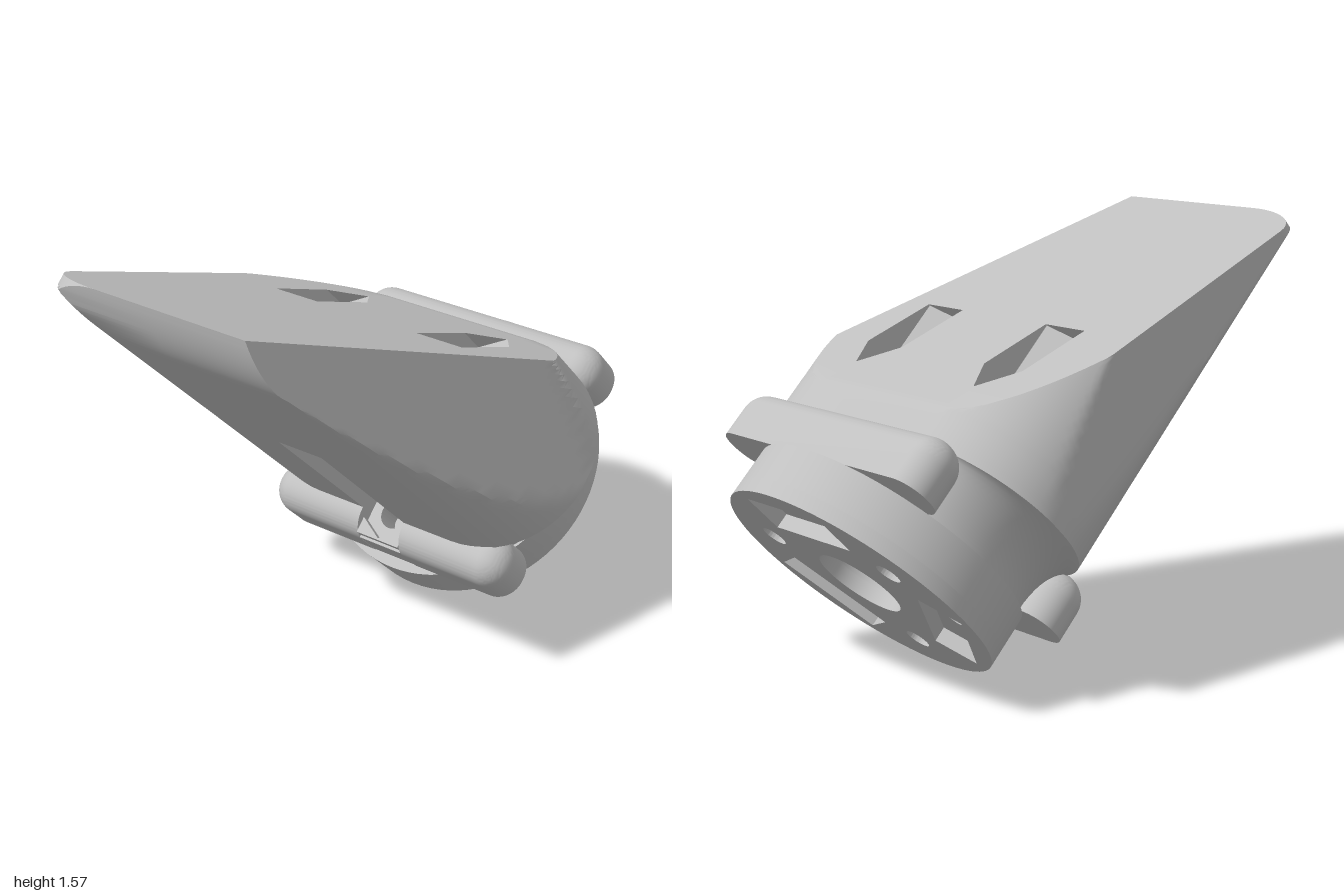
import * as THREE from 'three';
import { toCreasedNormals } from 'three/addons/utils/BufferGeometryUtils.js';
import { RoundedBoxGeometry } from 'three/addons/geometries/RoundedBoxGeometry.js';

const grey = new THREE.MeshStandardMaterial({ color: 0xc0c0c0 });
grey.name = 'light grey';

// Local frame: y runs along the mounting axis, z towards the underside of the scoop.
const R = 0.388, STRAIGHT = 0.307, TIP = 1.994, BOLT = 0.361;
const clamp = THREE.MathUtils.clamp;

function part(name, geometry) {
  const mesh = new THREE.Mesh(toCreasedNormals(geometry, 0.55), grey);
  mesh.name = name;
  return mesh;
}

// Flat shape in x/z, extruded from y0 up to y1
function plate(name, shape, y0, y1) {
  const g = new THREE.ExtrudeGeometry(shape, { depth: y1 - y0, bevelEnabled: false, curveSegments: 40 });
  g.rotateX(Math.PI / 2);
  g.translate(0, y1, 0);
  return part(name, g);
}

function circle(x, y, r, Type = THREE.Path) {
  return new Type().absarc(x, y, r, 0, Math.PI * 2, false);
}

const polygon = (pts) => new THREE.Shape(pts.map(([x, y]) => new THREE.Vector2(x, y)));

// Cross-section of the body at height w, as a ring of [x, z]
function section(w, groove, pocket) {
  const top = Math.max(-R, -0.403 + 0.4717 * (w - 0.495));
  const t = clamp((w - 1.75) / (TIP - 1.75), 0, 1);
  const bottom = Math.max(top, R - 0.084 * t * t);
  const n = clamp((w - 0.195) / 0.195, 0, 1);
  const neck = 0.76 + 0.24 * (1 - Math.sqrt(1 - n * n));
  const c = clamp((w - 1.85) / (TIP - 1.85), 0, 1);
  const rightCut = 0.787 - 0.244 * w;
  const leftCut = 0.722 - 0.077 * w - 0.248 * (1 - Math.sqrt(1 - c * c));
  const side = (q, cut) => Math.min(neck * (STRAIGHT + Math.sqrt(Math.max(0, R * R - q * q))), cut);

  const N = 28, right = [], left = [];
  for (let i = 0; i <= N; i++) {
    const q = top + (bottom - top) * (1 - Math.cos(Math.PI * i / N)) / 2;
    right.push([side(q, rightCut), q]);
    left.unshift([-side(q, leftCut), q]);
  }
  // Bolt groove on the underside
  const shoulder = groove ? 0.305 : bottom, vee = groove ? 0.25 : bottom;
  const slot = [[0.095, bottom], [0.095, shoulder], [0, vee], [-0.095, shoulder], [-0.095, bottom]];
  // Two bolt pockets on the sloped top
  const pockets = [];
  for (const x of [-0.313, 0.313]) {
    if (pocket) {
      const h = 0.095 * clamp((top + 0.322) / 0.06, 0, 1);
      const back = Math.max(top, -0.262);
      pockets.push([x - h, top], [x - 0.095, back], [x - 0.095, -0.125], [x, -0.07],
        [x + 0.095, -0.125], [x + 0.095, back], [x + h, top]);
    } else {
      const px = clamp(x, -side(top, leftCut), side(top, rightCut));
      for (let k = 0; k < 7; k++) pockets.push([px, top]);
    }
  }
  return [...right, ...slot, ...left, ...pockets];
}

// Scoop body lofted through its cross-sections; repeated levels make the pocket ends
function bodyGeometry() {
  const spans = [
    [0.195, 0.39, 10, true, false, true],
    [0.39, 0.668, 10, true, false, false],
    [0.668, 1.07, 16, true, true, false],
    [1.07, 1.75, 22, false, false, false],
    [1.75, TIP, 18, false, false, true],
  ];
  const pos = [], index = [];
  let rows = 0, size = 0;
  for (const [a, b, n, groove, pocket, eased] of spans) {
    for (let i = 0; i <= n; i++, rows++) {
      const t = eased ? Math.sin(i / n * Math.PI / 2) : i / n;
      const w = a + (b - a) * t;
      const ring = section(w, groove, pocket);
      size = ring.length;
      for (const [x, q] of ring) pos.push(x, w, q);
    }
  }
  for (let j = 0; j < rows - 1; j++) {
    for (let i = 0; i < size; i++) {
      const k = (i + 1) % size;
      const p = j * size + i, q = j * size + k;
      index.push(p, p + size, q + size, p, q + size, q);
    }
  }
  const g = new THREE.BufferGeometry();
  g.setAttribute('position', new THREE.Float32BufferAttribute(pos, 3));
  g.setIndex(index);
  return g;
}

// Rounded bar with a flat base, trimmed to x0..x1
function bar(name, z, x0, x1) {
  const g = new RoundedBoxGeometry(1.06, 0.42, 0.2, 8, 0.095);
  g.translate(0, 0.195, z);
  const p = g.attributes.position;
  for (let i = 0; i < p.count; i++) {
    p.setX(i, clamp(p.getX(i), x0, x1));
    p.setY(i, Math.max(p.getY(i), 0.195));
  }
  return part(name, g);
}

// Mounting disc: lower layer with keyway slots, upper layer with bolt holes
function mountingDisc() {
  const group = new THREE.Group();
  group.name = 'mountingDisc';
  const lower = circle(0, 0, 0.53, THREE.Shape);
  const upper = circle(0, 0, 0.53, THREE.Shape);
  for (const s of [lower, upper]) s.holes.push(circle(0, 0, 0.165));
  for (let i = 0; i < 6; i++) {
    const a = Math.PI / 2 + i * Math.PI / 3;
    const c = Math.cos(a), s = Math.sin(a);
    upper.holes.push(circle(BOLT * c, BOLT * s, 0.047));
    if (i % 2 === 0) {
      lower.holes.push(circle(BOLT * c, BOLT * s, 0.047));
    } else {
      const corners = [[0.275, -0.2], [0.445, -0.2], [0.445, 0.2], [0.275, 0.2]];
      lower.holes.push(new THREE.Path(corners.map(
        ([r, t]) => new THREE.Vector2(r * c - t * s, r * s + t * c))));
    }
  }
  group.add(plate('slottedFace', lower, 0, 0.055), plate('discTop', upper, 0.055, 0.195));
  return group;
}

export function createModel() {
  const model = new THREE.Group();
  model.name = 'scoopAdapter';
  const tilted = new THREE.Group();
  tilted.name = 'tiltedAssembly';
  tilted.rotation.x = Math.PI / 4;
  tilted.position.set(0, 0.375, -0.625);
  model.add(tilted);

  tilted.add(part('scoopBody', bodyGeometry()), mountingDisc());

  // Closed base of the neck
  const base = section(0.195, false, false).slice(0, 29).map(([x, q]) => [x, q]);
  const outline = [...base, ...base.slice().reverse().map(([x, q]) => [-x, q])];
  tilted.add(plate('neckBase', polygon(outline), 0.195, 0.215));

  // Flange bars; the front one is split by the bolt seat
  tilted.add(bar('backBar', -0.39, -0.53, 0.53));
  tilted.add(bar('frontBarLeft', 0.39, 0.095, 0.53));
  tilted.add(bar('frontBarRight', 0.39, -0.53, -0.095));

  // Bolt seat with its hole, and the angled lips of the hex recess
  const seat = polygon([[-0.095, 0.25], [0.095, 0.25], [0.095, 0.488], [-0.095, 0.488]]);
  seat.holes.push(circle(0, BOLT, 0.055));
  tilted.add(plate('boltSeat', seat, 0.195, 0.335));
  for (const s of [-1, 1]) {
    const lip = polygon([[0, 0.471], [s * 0.095, 0.416], [s * 0.095, 0.478], [0, 0.478]]);
    tilted.add(plate('seatLip', lip, 0.335, 0.37));
  }
  return model;
}
